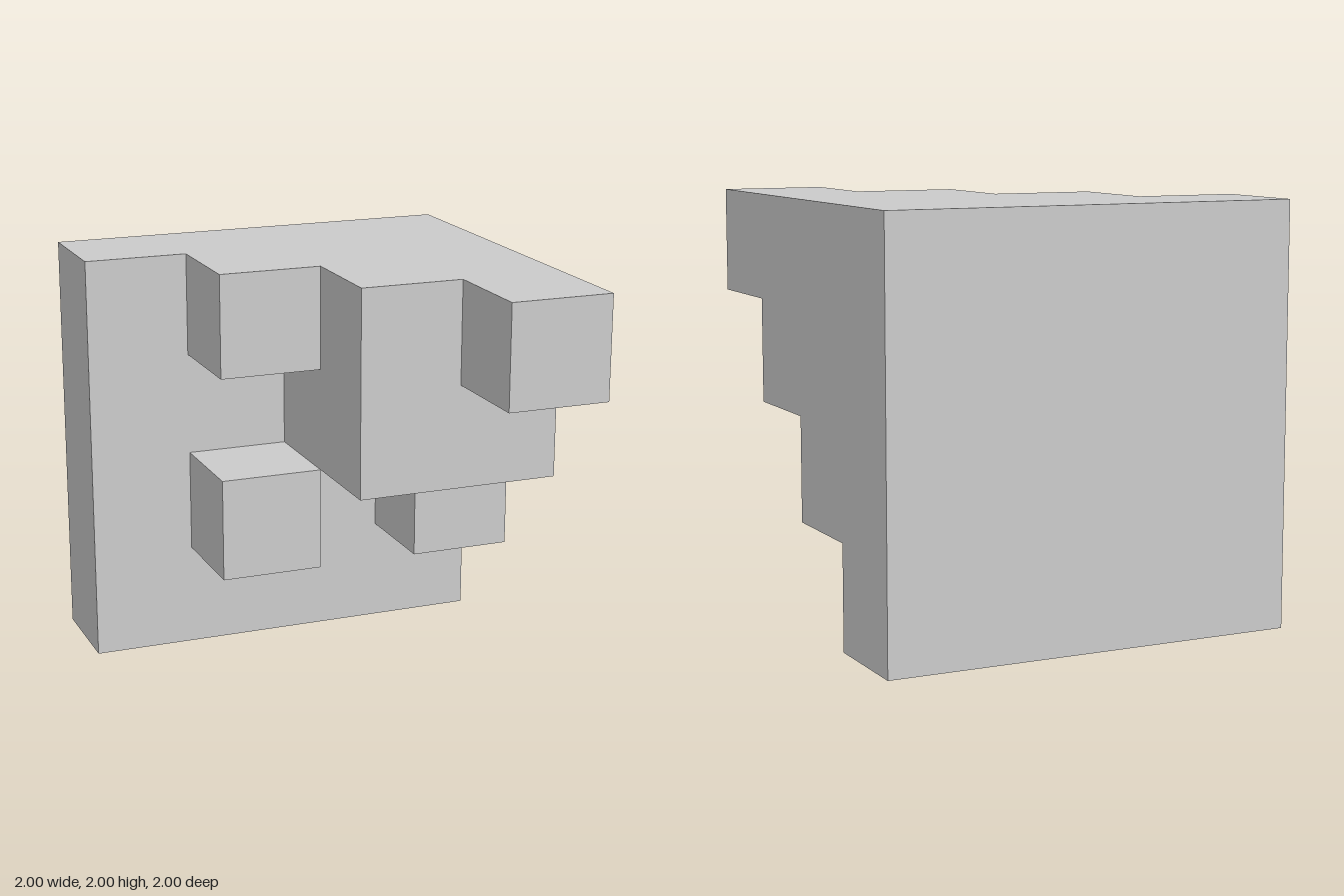
import * as THREE from 'three';

const CELL = 0.5;

// Box given by its lowest corner and size, counted in cells of a 4 x 4 x 4 grid
function addBlock(group, name, [i, j, k], [w, h, d], material) {
  const geometry = new THREE.BoxGeometry(w * CELL, h * CELL, d * CELL);
  const mesh = new THREE.Mesh(geometry, material);
  mesh.name = name;
  mesh.position.set((i + w / 2) * CELL - 1, (j + h / 2) * CELL, (k + d / 2) * CELL - 1);
  group.add(mesh);
}

export function createModel() {
  const group = new THREE.Group();
  group.name = 'steppedBlock';
  const material = new THREE.MeshStandardMaterial({ color: 0xcccccc, flatShading: true });

  // Full-size slab with a flat back
  addBlock(group, 'backSlab', [0, 0, 0], [4, 4, 1], material);

  // Large block in the upper left quarter, two cells deep
  addBlock(group, 'cornerBlock', [2, 2, 1], [2, 2, 2], material);

  // Foremost cube at the outer corner of the large block
  addBlock(group, 'tipCube', [3, 3, 3], [1, 1, 1], material);

  // One small cube in the same corner of each other quarter
  for (const [i, j] of [[1, 1], [3, 1], [1, 3]]) {
    addBlock(group, 'smallCube', [i, j, 1], [1, 1, 1], material);
  }
  return group;
}
